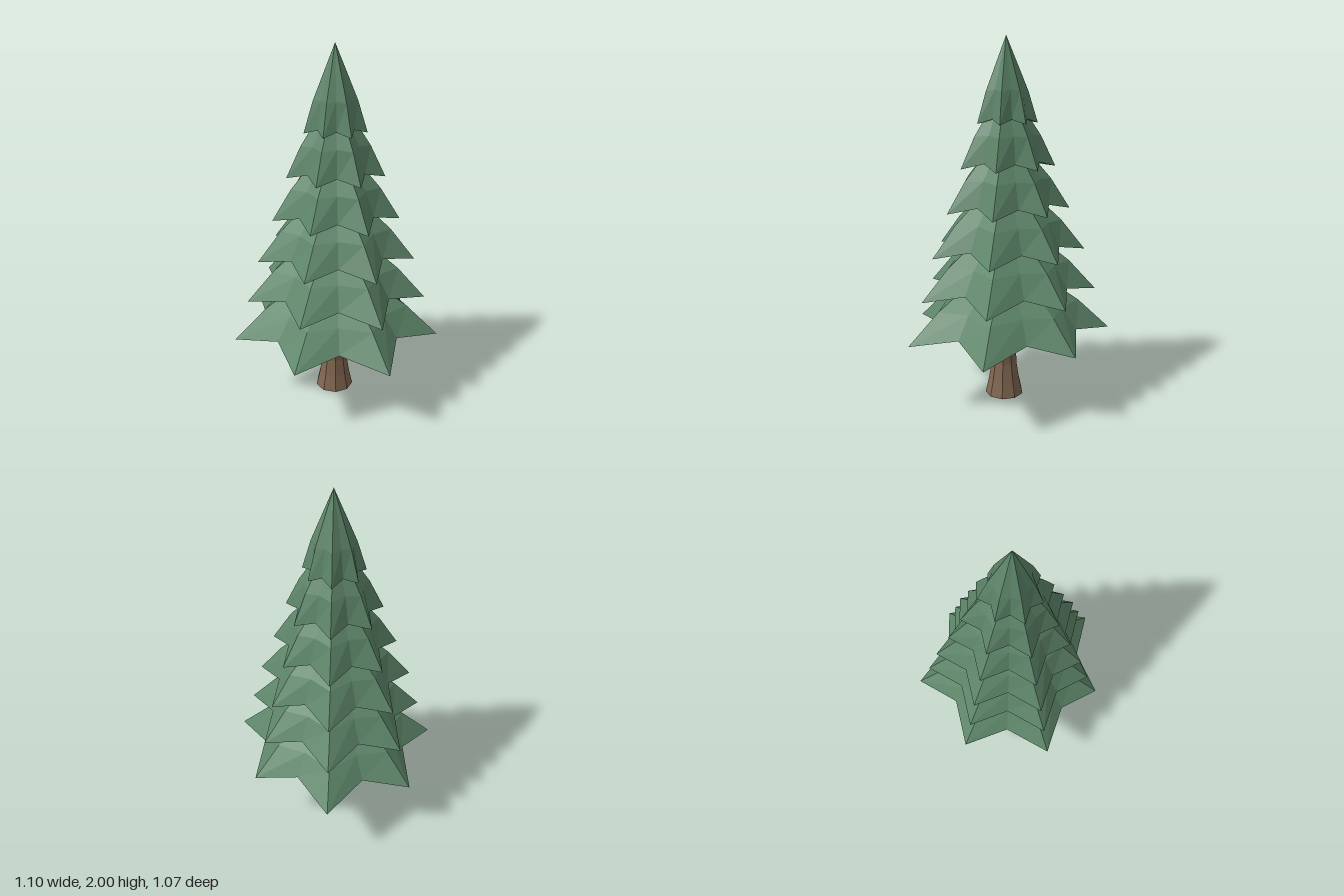
import * as THREE from 'three';

const POINTS = 7;
const SPREAD = [1, 1.02, 0.96, 1.035, 1.03, 0.965, 1.02]; // slight variation per branch

// Star ring alternating branch tips and valleys
function starRing(tipR, valleyR, tipY, valleyY) {
  const ring = [];
  for (let i = 0; i < POINTS * 2; i++) {
    const a = Math.PI + (i * Math.PI) / POINTS;
    const tip = i % 2 === 0;
    const r = tip ? tipR * SPREAD[i / 2] : valleyR;
    ring.push([Math.cos(a) * r, tip ? tipY : valleyY, Math.sin(a) * r]);
  }
  return ring;
}

// Closed tier: underside fan, drooping skirt, upper cone
function tierGeometry(R, y) {
  const rim = starRing(R, R * 0.73, y, y + 0.01 + R * 0.085);
  const bend = starRing(R * 0.7, R * 0.58, y + 0.165, y + 0.175);
  const apex = [0, y + 0.45, 0];
  const under = [0, y + 0.01 + R * 0.12, 0];
  const pos = [];
  const tri = (...pts) => pts.forEach((p) => pos.push(...p));
  for (let i = 0; i < rim.length; i++) {
    const j = (i + 1) % rim.length;
    tri(rim[i], bend[i], rim[j]);
    tri(bend[i], bend[j], rim[j]);
    tri(bend[i], apex, bend[j]);
    tri(under, rim[i], rim[j]);
  }
  const g = new THREE.BufferGeometry();
  g.setAttribute('position', new THREE.Float32BufferAttribute(pos, 3));
  g.computeVertexNormals();
  return g;
}

export function createModel() {
  const tree = new THREE.Group();
  tree.name = 'pineTree';
  const needles = new THREE.MeshStandardMaterial({ name: 'needleGreen', color: 0x5c8468, flatShading: true });
  const bark = new THREE.MeshStandardMaterial({ name: 'barkBrown', color: 0x806650, flatShading: true });

  // Foliage tiers, widest at the bottom
  [0.57, 0.49, 0.425, 0.34, 0.26, 0.165].forEach((R, i) => {
    const tier = new THREE.Mesh(tierGeometry(R, 0.39 + i * 0.232), needles);
    tier.name = `foliageTier${i + 1}`;
    tier.position.set(0.015, 0, -0.005);
    tree.add(tier);
  });

  // Trunk with flared foot
  const profile = [[0, 0], [0.108, 0], [0.088, 0.09], [0.072, 0.19], [0.064, 0.5], [0, 0.5]];
  const trunk = new THREE.Mesh(
    new THREE.LatheGeometry(profile.map(([r, y]) => new THREE.Vector2(r, y)), 9), bark);
  trunk.name = 'trunk';
  trunk.position.set(0.02, 0, 0.005);
  tree.add(trunk);
  return tree;
}
